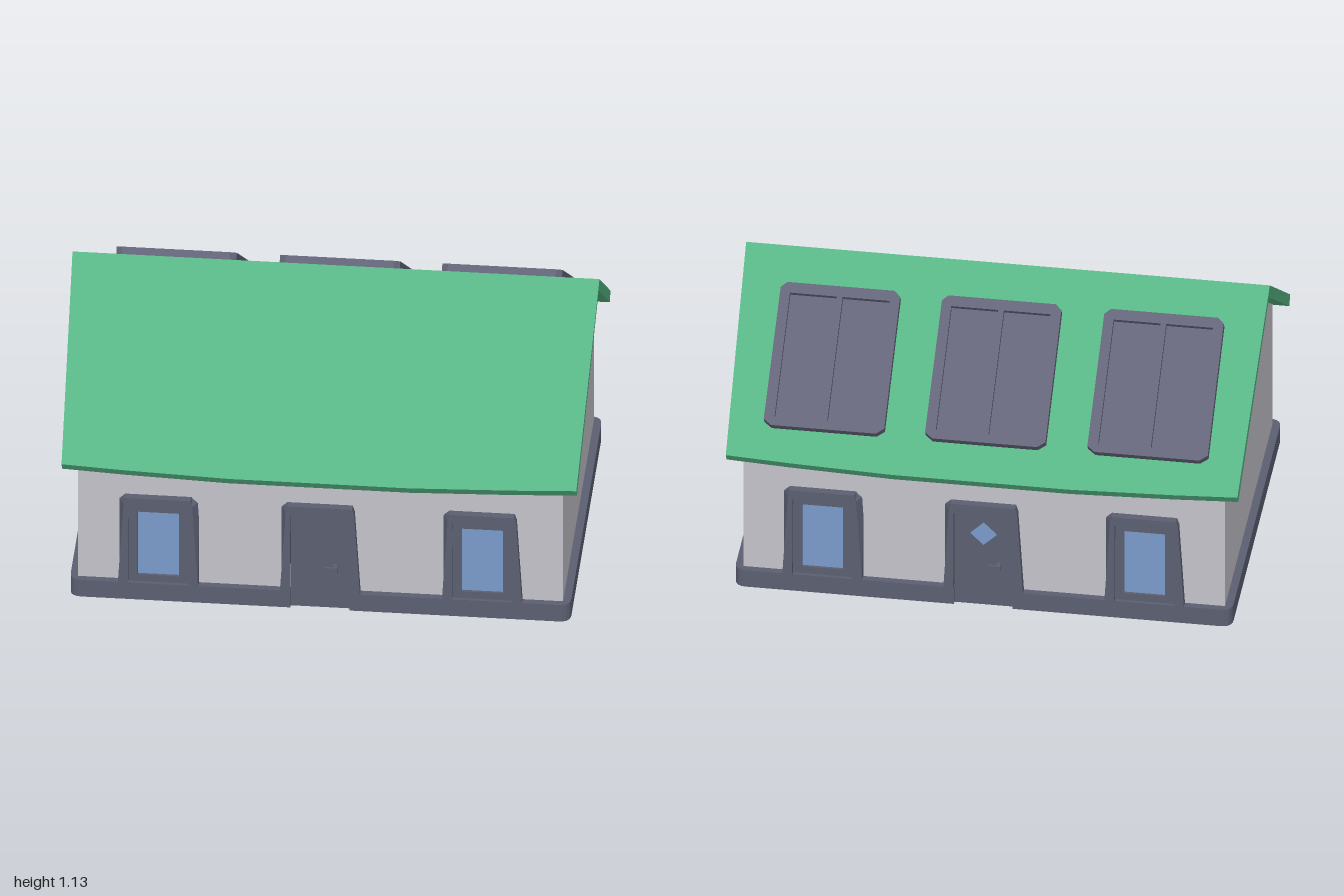
import * as THREE from 'three';

const mat = (name, color) => {
  const m = new THREE.MeshStandardMaterial({ color });
  m.name = name;
  return m;
};

const shapeOf = pts => new THREE.Shape(pts.map(p => new THREE.Vector2(...p)));
const rect = (x0, y0, x1, y1) => [[x0, y0], [x1, y0], [x1, y1], [x0, y1]];

// Straight extrusion of an outline with optional holes
function extrude(pts, depth, holes = []) {
  const s = shapeOf(pts);
  holes.forEach(h => s.holes.push(shapeOf(h)));
  return new THREE.ExtrudeGeometry(s, { depth, bevelEnabled: false });
}

// Roof shell: chevron cross-sections along x, bowed outward at the eaves
function roofGeometry() {
  const rings = [[-1, 0.686], [-0.75, 0.695], [-0.35, 0.705], [0.35, 0.705], [0.75, 0.695], [1, 0.686]].map(([t, z]) => {
    const top = 1.133 - 0.743 * z, zb = z - 0.025, bottom = 1.078 - 0.743 * zb, e = t * 0.977;
    return [[t, 1.133, 0], [e, top, z], [e, bottom, zb], [t * 0.997, 1.078, 0], [e, bottom, -zb], [e, top, -z]];
  });
  const pos = [];
  const quad = (a, b, c, d) => pos.push(...a, ...b, ...c, ...a, ...c, ...d);
  for (let s = 0; s < rings.length - 1; s++) {
    const a = rings[s], b = rings[s + 1];
    for (let i = 0; i < 6; i++) {
      const j = (i + 1) % 6;
      quad(a[i], a[j], b[j], b[i]);
    }
  }
  const r = rings[rings.length - 1], l = rings[0];
  quad(r[0], r[1], r[2], r[3]);
  quad(r[0], r[3], r[4], r[5]);
  quad(l[3], l[2], l[1], l[0]);
  quad(l[5], l[4], l[3], l[0]);
  const g = new THREE.BufferGeometry();
  g.setAttribute('position', new THREE.Float32BufferAttribute(pos, 3));
  g.computeVertexNormals();
  return g;
}

// Tapered surround, open at the foot; its sides flare towards the wall
function surroundGeometry(flareRight) {
  const g = extrude([
    [-0.152, 0.072], [-0.114, 0.072], [-0.112, 0.42], [0.112, 0.42], [0.114, 0.072],
    [0.152, 0.072], [0.13, 0.435], [0.122, 0.46], [-0.122, 0.46], [-0.13, 0.435],
  ], 0.038);
  const p = g.attributes.position;
  for (let i = 0; i < p.count; i++) {
    const x = p.getX(i), y = p.getY(i);
    if (p.getZ(i) > 0.001 || Math.abs(x) < 0.118) continue;
    if (x < 0 || flareRight) p.setX(i, Math.sign(x) * (y > 0.45 ? 0.127 : 0.154));
  }
  g.computeVertexNormals();
  return g;
}

// Plinth outline with rounded corners and a notch at each door
function plinthGeometry() {
  const X = 0.95, Z = 0.645, r = 0.045, n = 0.112, d = 0.622;
  const s = new THREE.Shape();
  s.moveTo(-X + r, -Z);
  s.lineTo(-n, -Z).lineTo(-n, -d).lineTo(n, -d).lineTo(n, -Z).lineTo(X - r, -Z);
  s.quadraticCurveTo(X, -Z, X, -Z + r).lineTo(X, Z - r);
  s.quadraticCurveTo(X, Z, X - r, Z);
  s.lineTo(n, Z).lineTo(n, d).lineTo(-n, d).lineTo(-n, Z).lineTo(-X + r, Z);
  s.quadraticCurveTo(-X, Z, -X, Z - r).lineTo(-X, -Z + r);
  s.quadraticCurveTo(-X, -Z, -X + r, -Z);
  const g = new THREE.ExtrudeGeometry(s, { depth: 0.075, bevelEnabled: false, curveSegments: 5 });
  return g.rotateX(-Math.PI / 2);
}

export function createModel() {
  const wall = mat('pale wall', 0xc4c3cb);
  const green = mat('green roof', 0x57b484);
  const trim = mat('slate trim', 0x5b5f71);
  const solar = mat('solar grey', 0x636478);
  const glass = mat('blue glass', 0x7a9bcb);
  const model = new THREE.Group();
  const add = (parent, name, geo, material, x = 0, y = 0, z = 0) => {
    const m = new THREE.Mesh(geo, material);
    m.name = name;
    m.position.set(x, y, z);
    parent.add(m);
    return m;
  };
  const group = (parent, name) => {
    const g = new THREE.Group();
    g.name = name;
    parent.add(g);
    return g;
  };

  // Gabled walls, plinth and roof
  const gable = extrude([[-0.618, 0.03], [0.618, 0.03], [0.618, 0.621], [0, 1.08], [-0.618, 0.621]], 1.84);
  add(model, 'walls', gable.translate(0, 0, -0.92).rotateY(Math.PI / 2), wall);
  add(model, 'plinth', plinthGeometry(), trim);
  add(model, 'roof', roofGeometry(), green);

  // Front and back each carry two windows and a door
  for (const side of ['front', 'back']) {
    const facade = group(model, side + 'Facade');
    if (side === 'back') facade.rotation.y = Math.PI;

    for (const x of [-0.615, 0.615]) {
      const win = group(facade, side + 'Window');
      win.position.set(x, 0, 0.61);
      add(win, 'windowSurround', surroundGeometry(x < 0), trim);
      const sash = extrude(rect(-0.113, 0.072, 0.113, 0.422), 0.022, [rect(-0.078, 0.106, 0.078, 0.39)]);
      add(win, 'windowSash', sash, trim);
      add(win, 'windowPane', new THREE.BoxGeometry(0.16, 0.29, 0.004), glass, 0, 0.248, 0.01);
    }

    const door = group(facade, side + 'Door');
    door.position.z = 0.61;
    add(door, 'doorSurround', surroundGeometry(false), trim);
    add(door, 'doorLeaf', new THREE.BoxGeometry(0.224, 0.42, 0.02), trim, 0, 0.21, 0.01);
    add(door, 'handleStem', new THREE.BoxGeometry(0.014, 0.02, 0.03), trim, 0.058, 0.188, 0.032);
    add(door, 'handleLever', new THREE.BoxGeometry(0.048, 0.02, 0.01), trim, 0.043, 0.188, 0.046);
    if (side === 'back') {
      const light = add(door, 'doorDiamondPane', new THREE.BoxGeometry(0.07, 0.07, 0.008), glass, 0, 0.325, 0.022);
      light.rotation.z = Math.PI / 4;
    }
  }

  // Solar panels lying on the back slope: framed, with two sunken panes
  const a = Math.atan(0.743);
  const basis = new THREE.Matrix4().makeBasis(
    new THREE.Vector3(-1, 0, 0),
    new THREE.Vector3(0, Math.sin(a), Math.cos(a)),
    new THREE.Vector3(0, Math.cos(a), -Math.sin(a)));
  const frame = extrude([
    [-0.2, -0.287], [0.2, -0.287], [0.23, -0.265], [0.228, 0.265], [0.205, 0.287],
    [-0.205, 0.287], [-0.228, 0.265], [-0.23, -0.265],
  ], 0.036, [rect(-0.19, -0.252, -0.011, 0.245), rect(0.011, -0.252, 0.19, 0.245)]);
  for (const x of [-0.62, 0, 0.616]) {
    const panel = group(model, 'solarPanel');
    panel.quaternion.setFromRotationMatrix(basis);
    panel.position.set(x, 1.133 - 0.743 * 0.357, -0.357);
    add(panel, 'panelFrame', frame, solar);
    for (const s of [-1, 1])
      add(panel, 'panelPane', new THREE.BoxGeometry(0.182, 0.5, 0.012), solar, s * 0.1005, -0.003, 0.008);
  }
  return model;
}
